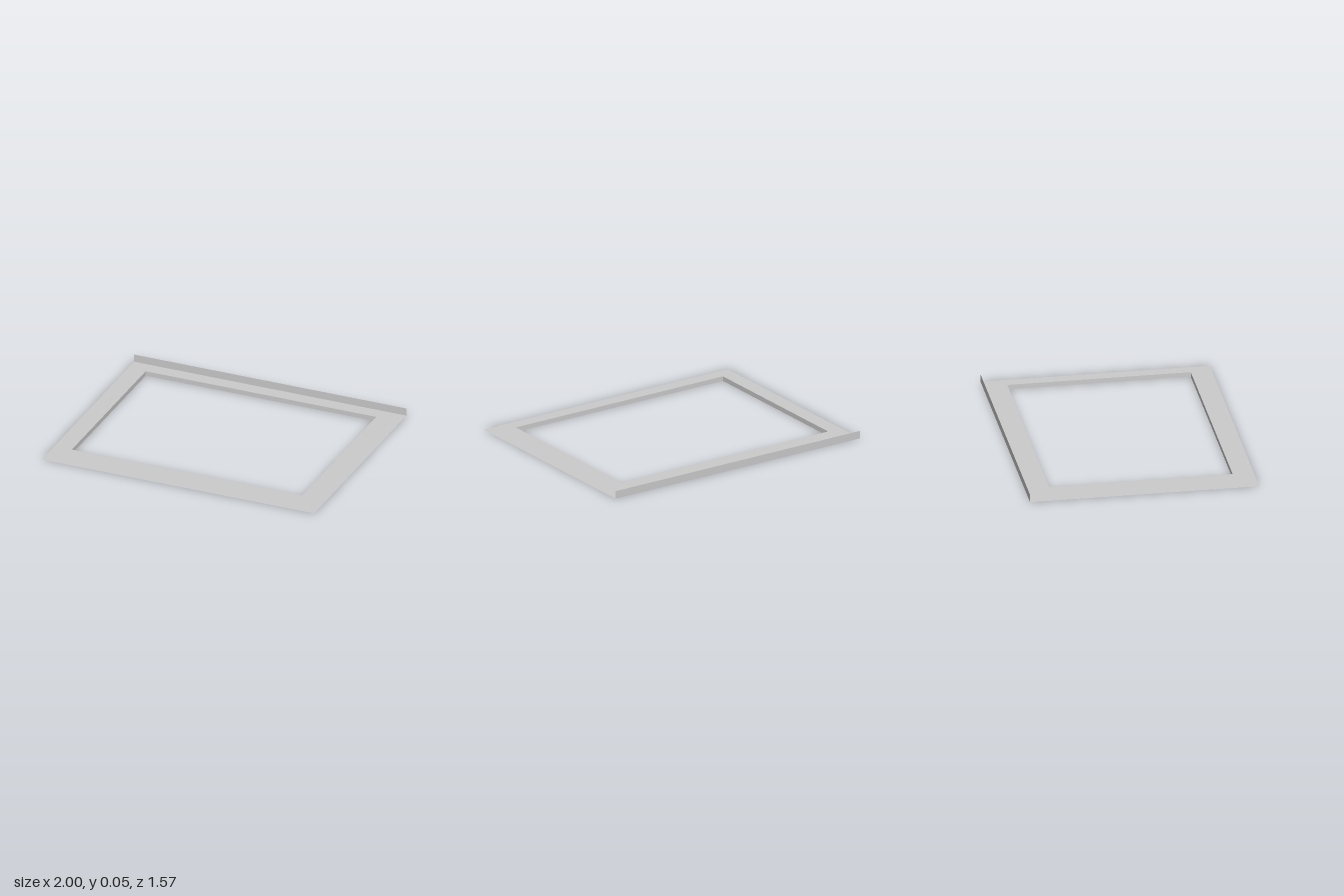
import * as THREE from 'three';

const material = new THREE.MeshStandardMaterial({ color: 0xcccccc, flatShading: true, side: THREE.DoubleSide });

// Half sizes of the nested rectangles: x, z
const OUTER = [1, 0.784], LIP = [0.93, 0.72], OPENING = [0.846, 0.627];
const LIP_HEIGHT = 0.033, FLANGE_HEIGHT = 0.054;

function sheet(name, geometry, x, y, z) {
  const mesh = new THREE.Mesh(geometry, material);
  mesh.name = name;
  mesh.position.set(x, y, z);
  return mesh;
}

const corners = ([x, z]) => [[-x, -z], [x, -z], [x, z], [-x, z]].map(([a, b]) => new THREE.Vector2(a, b));

// Flat horizontal ring between a rectangle and the opening
function ring(name, size, y) {
  const shape = new THREE.Shape(corners(size));
  shape.holes.push(new THREE.Path(corners(OPENING).reverse()));
  return sheet(name, new THREE.ShapeGeometry(shape).rotateX(-Math.PI / 2), 0, y, 0);
}

export function createModel() {
  const model = new THREE.Group();
  model.name = 'openingFrame';

  // Wide base sheet and the narrower raised lip
  model.add(ring('baseRing', OUTER, 0), ring('raisedLip', LIP, LIP_HEIGHT));

  // Walls around the opening, facing inwards
  const walls = new THREE.Group();
  walls.name = 'openingWalls';
  const [ox, oz] = OPENING;
  for (const s of [-1, 1]) {
    const long = new THREE.PlaneGeometry(2 * ox, LIP_HEIGHT).rotateY(s < 0 ? 0 : Math.PI);
    const short = new THREE.PlaneGeometry(2 * oz, LIP_HEIGHT).rotateY(-s * Math.PI / 2);
    walls.add(sheet(s < 0 ? 'backWall' : 'frontWall', long, 0, LIP_HEIGHT / 2, s * oz));
    walls.add(sheet(s < 0 ? 'rightWall' : 'leftWall', short, s * ox, LIP_HEIGHT / 2, 0));
  }
  model.add(walls);

  // Upright flange along the back edge
  model.add(sheet('backFlange', new THREE.PlaneGeometry(2 * OUTER[0], FLANGE_HEIGHT), 0, FLANGE_HEIGHT / 2, -OUTER[1]));
  return model;
}
